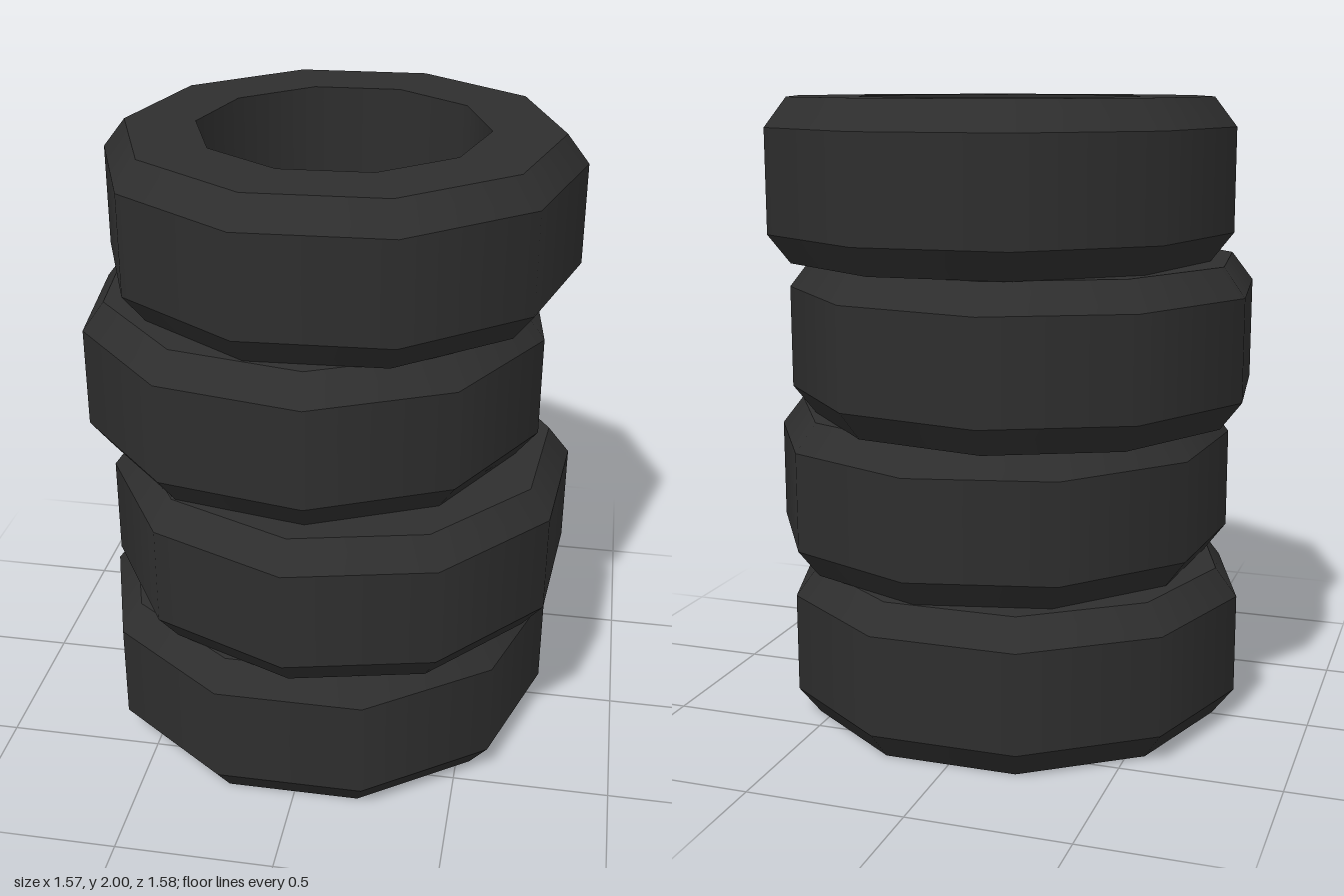
import * as THREE from 'three';
import { mergeGeometries } from 'three/addons/utils/BufferGeometryUtils.js';

const SIDES = 10;

// Outline of one tyre [radius, height]: up the outside, over the top, down the hole (open underneath)
const OUTLINE = [
  [0.68, 0], [0.75, 0.09], [0.75, 0.41], [0.68, 0.5], [0.455, 0.5], [0.455, 0.08],
].map(([r, y]) => new THREE.Vector2(r, y));

// One lathe per band: smooth around the tyre, sharp between bands
function tyreGeometry() {
  const bands = [];
  for (let i = 0; i < OUTLINE.length - 1; i++) {
    bands.push(new THREE.LatheGeometry([OUTLINE[i], OUTLINE[i + 1]], SIDES, Math.PI / 2));
  }
  return mergeGeometries(bands);
}

export function createModel() {
  const model = new THREE.Group();
  model.name = 'tyreStack';

  const rubber = new THREE.MeshStandardMaterial({ color: 0x2e2e2e, side: THREE.DoubleSide });
  rubber.name = 'black rubber';

  // Each tyre, bottom to top: x offset, z offset, turn in degrees
  const stack = [
    [-0.005, 0.007, 0],
    [0.055, 0.043, 13.2],
    [-0.05, -0.04, -10.8],
    [0.03, -0.063, 3],
  ];
  const geometry = tyreGeometry();
  stack.forEach(([x, z, turn], i) => {
    const tyre = new THREE.Mesh(geometry, rubber);
    tyre.name = `tyre${i + 1}`;
    tyre.position.set(x, i * 0.5, z);
    tyre.rotation.y = THREE.MathUtils.degToRad(turn);
    model.add(tyre);
  });
  return model;
}
